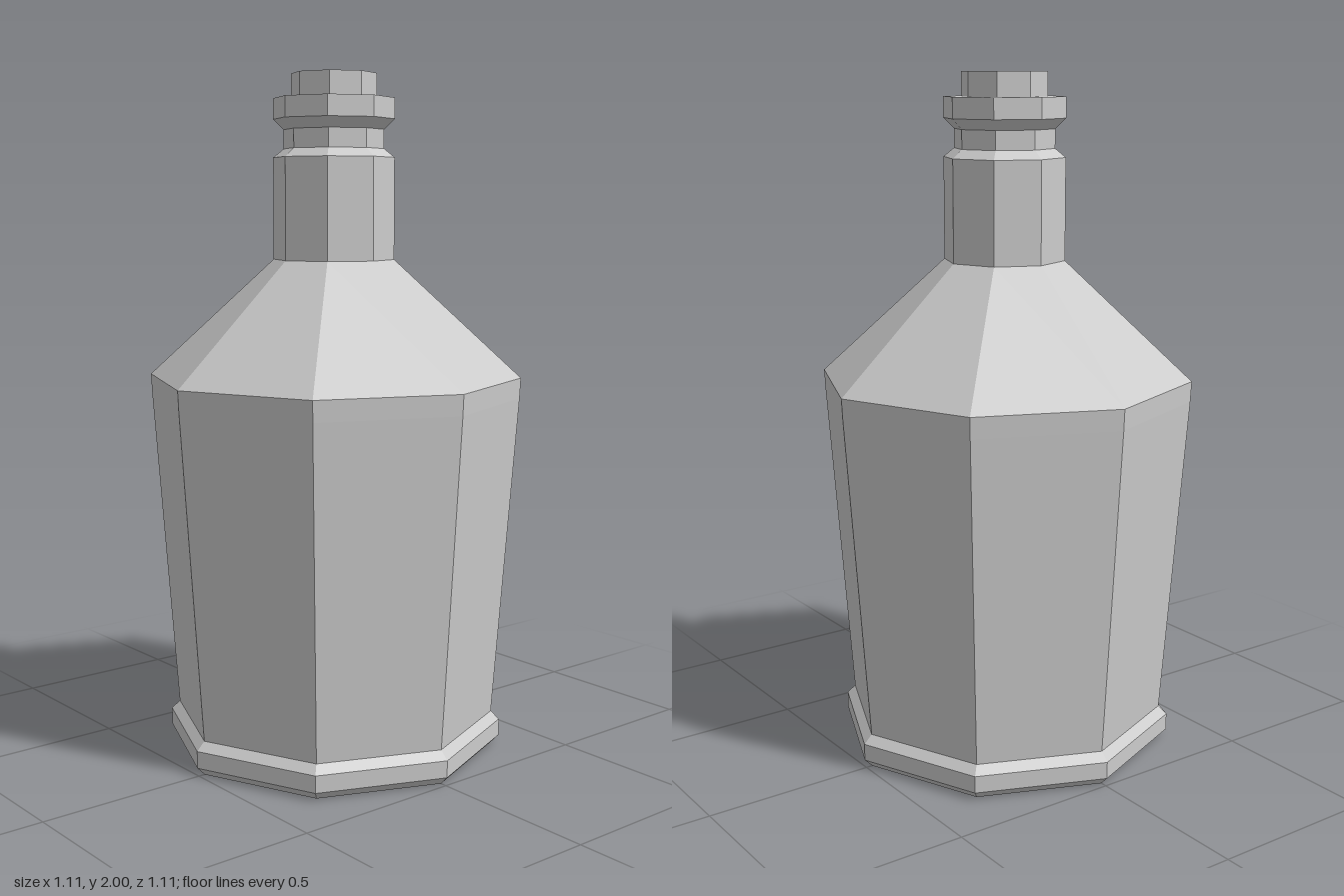
import * as THREE from 'three';

const SIDES = 8;
const material = new THREE.MeshStandardMaterial({ color: 0xcccccc, flatShading: true });

// Revolve a [radius, height] profile (bottom to top) into a faceted part
function faceted(name, profile) {
  const points = profile.map(([r, y]) => new THREE.Vector2(r, y));
  const mesh = new THREE.Mesh(new THREE.LatheGeometry(points, SIDES), material);
  mesh.name = name;
  return mesh;
}

export function createModel() {
  const bottle = new THREE.Group();
  bottle.name = 'bottle';

  // Chamfered foot ring with a closed underside
  bottle.add(faceted('base', [[0, 0], [0.48, 0], [0.505, 0.025], [0.505, 0.075], [0.48, 0.1]]));

  // Body widening upward to a short upright band
  bottle.add(faceted('body', [[0.48, 0.1], [0.55, 1.06], [0.553, 1.12]]));

  // Sloping shoulder
  bottle.add(faceted('shoulder', [[0.553, 1.12], [0.178, 1.465]]));

  // Straight neck, pinched below the lip
  bottle.add(faceted('neck', [[0.178, 1.465], [0.178, 1.76], [0.147, 1.785], [0.147, 1.84]]));

  // Flared lip, its flat top running in to the stopper
  bottle.add(faceted('lip', [[0.147, 1.84], [0.178, 1.87], [0.178, 1.93], [0.125, 1.93]]));

  // Stopper
  const stopper = new THREE.Mesh(new THREE.CylinderGeometry(0.125, 0.125, 0.12, SIDES), material);
  stopper.name = 'stopper';
  stopper.position.y = 1.94;
  bottle.add(stopper);

  return bottle;
}
